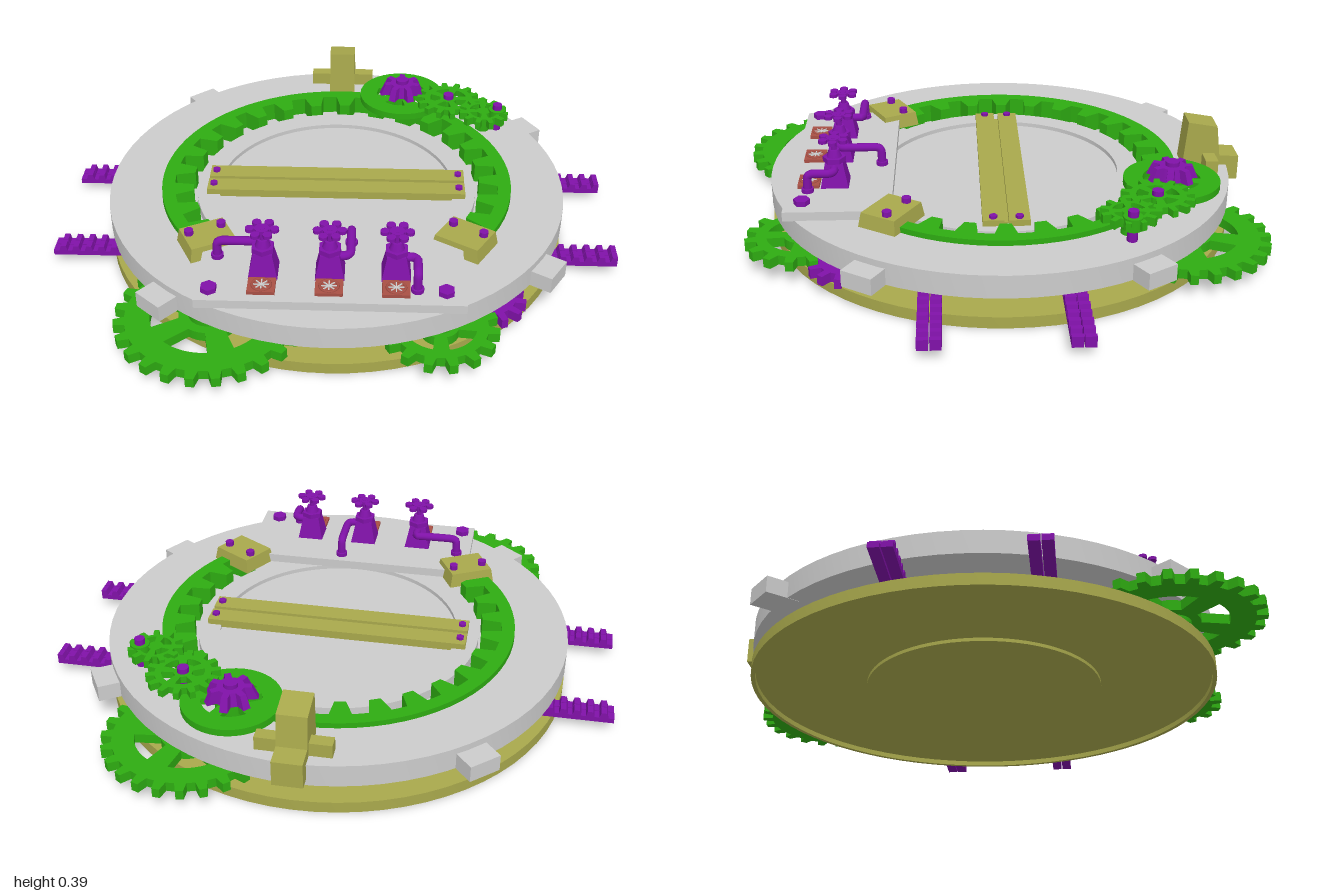
import * as THREE from 'three';
import { toCreasedNormals } from 'three/addons/utils/BufferGeometryUtils.js';

const mat = (color) => new THREE.MeshStandardMaterial({ color, side: THREE.DoubleSide });
const GREY = mat(0xcccccc), GREEN = mat(0x2eac12), OLIVE = mat(0xa8a84c), PURPLE = mat(0x8012a8), RED = mat(0xa85045);
const CZ = -0.027; // centre of the round plates
const R = 0.826;

export function createModel() {
  const root = new THREE.Group();

  function add(name, geo, material, x = 0, y = 0, z = 0, ry = 0, parent = root) {
    const m = new THREE.Mesh(geo, material);
    m.name = name;
    m.position.set(x, y, z);
    m.rotation.y = ry;
    parent.add(m);
  }
  const box = (w, h, d) => new THREE.BoxGeometry(w, h, d);
  const cyl = (r, h, n = 16, rTop = r) => toCreasedNormals(new THREE.CylinderGeometry(rTop, r, h, n), 0.7);
  const lathe = (pts) => toCreasedNormals(new THREE.LatheGeometry(pts.map((p) => new THREE.Vector2(...p)), 72), 0.5);
  // Narrow a geometry toward its top, in place
  function taper(geo, h, amount, base = 0) {
    const p = geo.attributes.position;
    for (let i = 0; i < p.count; i++) {
      const k = 1 - ((p.getY(i) - base) / h) * amount;
      p.setXYZ(i, p.getX(i) * k, p.getY(i), p.getZ(i) * k);
    }
    return toCreasedNormals(geo, 0.4);
  }
  // Extrude a flat shape upward; shape y becomes -z
  function slab(shape, h) {
    const g = new THREE.ExtrudeGeometry(shape, { depth: h, bevelEnabled: false, curveSegments: 20 });
    return toCreasedNormals(g.rotateX(-Math.PI / 2), 0.5);
  }
  const polar = (r, a) => new THREE.Vector2(r * Math.cos(a), r * Math.sin(a));
  // Points of a toothed edge between two angles
  function teethPoints(rootR, tip, n, a0, a1) {
    const pts = [], p = (a1 - a0) / n;
    for (let i = 0; i < n; i++) {
      const a = a0 + i * p;
      pts.push(polar(rootR, a), polar(rootR, a + p * 0.24), polar(rootR, a + p * 0.42));
      pts.push(polar(tip, a + p * 0.54), polar(tip, a + p * 0.88));
    }
    return pts;
  }
  // Spur gear with windows between its spokes
  function gear(r, teeth, h, spokes, depth, rimIn, hubR, half) {
    const s = new THREE.Shape(teeth ? teethPoints(r - depth, r, teeth, 0, Math.PI * 2) : undefined);
    if (!teeth) s.absarc(0, 0, r, 0, Math.PI * 2);
    for (let i = 0; i < spokes; i++) {
      const a0 = (i / spokes) * Math.PI * 2 + half, a1 = ((i + 1) / spokes) * Math.PI * 2 - half;
      const w = new THREE.Path();
      w.absarc(0, 0, rimIn, a0, a1, false);
      w.absarc(0, 0, hubR, a1 - half * 0.5, a0 + half * 0.5, true);
      w.closePath();
      s.holes.push(w);
    }
    return slab(s, h);
  }
  const screw = (x, y, z, r) => add('screw', cyl(r, 0.02, 6), PURPLE, x, y, z);

  // Base plate: rim and central boss around a recessed underside, low hub on top
  add('basePlate', lathe([[0, 0.006], [0.42, 0.006], [0.42, 0.018], [R - 0.015, 0.018], [R - 0.015, 0], [R, 0], [R, 0.04], [0, 0.04]]), OLIVE, 0, 0, CZ);
  add('baseHub', cyl(0.105, 0.018, 32, 0.06), OLIVE, 0, 0.048, CZ);

  // Upper plate with ring groove and shallow middle, and edge tabs
  add('upperPlate', lathe([[0, 0.107], [R, 0.107], [R, 0.187], [0.638, 0.187], [0.638, 0.135], [0.51, 0.135],
    [0.51, 0.17], [0.43, 0.17], [0.43, 0.155], [0, 0.155]]), GREY, 0, 0, CZ);
  for (const deg of [32, -32, 131, -131]) {
    const a = (deg * Math.PI) / 180;
    add('edgeTab', box(0.12, 0.058, 0.115), GREY, 0.84 * Math.cos(a), 0.135, CZ - 0.84 * Math.sin(a), a);
  }

  // Paired racks running right through
  for (const z of [-0.235, 0.224]) {
    for (const dz of [-0.02, 0.02]) {
      const s = new THREE.Shape();
      s.moveTo(-1, 0.04).lineTo(1, 0.04);
      const n = 44, p = 2 / n;
      for (let i = 0; i < n; i++) {
        const x = 1 - i * p;
        s.lineTo(x, 0.077).lineTo(x - p * 0.4, 0.077).lineTo(x - p * 0.55, 0.058).lineTo(x - p * 0.9, 0.058);
      }
      s.lineTo(-1, 0.058);
      const g = new THREE.ExtrudeGeometry(s, { depth: 0.036, bevelEnabled: false });
      add('rack', toCreasedNormals(g, 0.4), PURPLE, 0, 0, z + dz - 0.018);
    }
  }

  // Gears between the plates
  const lower = [
    ['backLowerGear', 0.39, -0.645, 0.29, 24, 5, GREEN, 0.055],
    ['frontLeftLowerGear', -0.395, 0.62, 0.315, 24, 5, GREEN, 0.055],
    ['frontRightLowerGear', 0.36, 0.66, 0.195, 15, 4, GREEN, 0.06],
    ['smallLowerGear', 0.53, 0.5, 0.125, 12, 0, PURPLE, 0.05],
  ];
  for (const [name, x, z, r, n, spokes, m, y] of lower) {
    add(name, gear(r, n, 0.034, spokes, 0.037, r * 0.62, r * 0.32, 0.22), m, x, y, z);
    add(name + 'Hub', cyl(r * 0.22, 0.067, 24), m, x, 0.0735, z);
  }

  // Inward-toothed ring, open at the front
  const a0 = (-42 * Math.PI) / 180, a1 = (224 * Math.PI) / 180, ringPts = [];
  for (let i = 0; i <= 60; i++) ringPts.push(polar(0.637, a0 + ((a1 - a0) * i) / 60));
  ringPts.push(...teethPoints(0.59, 0.522, 21, a1, a0), polar(0.59, a0));
  add('ringGear', slab(new THREE.Shape(ringPts), 0.07), GREEN, 0, 0.136, CZ);

  // Clamps over the ring's ends
  for (const [x, z, ry, w] of [[-0.423, 0.382, 0.47, 0.175], [0.45, 0.35, -0.55, 0.18]]) {
    const clamp = new THREE.Group();
    clamp.name = 'ringClamp';
    clamp.position.set(x, 0, z);
    clamp.rotation.y = ry;
    root.add(clamp);
    add('clampBlock', taper(box(w, 0.052, 0.145), 0.052, 0.1, -0.026), OLIVE, 0, 0.211, 0, 0, clamp);
    for (const sx of [-1, 1]) add('clampScrew', cyl(0.016, 0.02, 8), PURPLE, sx * 0.058, 0.245, -0.022, 0, clamp);
  }

  // Double bar across the middle
  for (const dz of [-0.044, 0.044]) {
    add('crossBar', box(0.94, 0.022, 0.072), OLIVE, 0, 0.18, CZ - 0.003 + dz);
    for (const sx of [-1, 1]) screw(sx * 0.448, 0.191, CZ - 0.003 + dz, 0.014);
  }
  add('crossBarBase', box(0.9, 0.02, 0.14), OLIVE, 0, 0.164, CZ - 0.003);

  // Control plate lying on the upper plate
  add('controlPlate', box(0.87, 0.032, 0.36), GREY, 0.005, 0.202, 0.532);
  screw(-0.385, 0.226, 0.66, 0.028);
  screw(0.375, 0.226, 0.652, 0.028);

  // Valves, each with a bent pipe of its own
  const pipes = [
    [[0, 0.285, -0.03], [0, 0.285, -0.068], [-0.03, 0.285, -0.068], [-0.14, 0.285, -0.068], [-0.158, 0.275, -0.068], [-0.16, 0.218, -0.068]],
    [[0, 0.285, 0], [0.05, 0.285, 0], [0.066, 0.285, -0.02], [0.066, 0.285, -0.135], [0.066, 0.275, -0.152], [0.066, 0.218, -0.154]],
    [[0, 0.285, 0], [0.052, 0.285, 0], [0.068, 0.285, 0.015], [0.068, 0.285, 0.07], [0.068, 0.275, 0.088], [0.068, 0.218, 0.09]],
  ];
  [-0.217, 0, 0.215].forEach((x, i) => {
    const v = new THREE.Group();
    v.name = 'valve';
    v.position.set(x, 0, 0.552);
    root.add(v);
    const body = new THREE.CylinderGeometry(0.044, 0.068, 0.085, 4, 1).rotateY(Math.PI / 4);
    add('valveBody', toCreasedNormals(body, 0.4), PURPLE, 0, 0.26, 0, 0, v);
    add('valveCollar', cyl(0.04, 0.018, 6), PURPLE, 0, 0.311, 0, 0, v);
    add('valveNeck', cyl(0.026, 0.026, 12, 0.018), PURPLE, 0, 0.333, 0, 0, v);
    add('valveStem', cyl(0.01, 0.06, 10), PURPLE, 0, 0.36, 0, 0, v);
    // Lobed handwheel
    add('handwheelHub', cyl(0.024, 0.012, 16), PURPLE, 0, 0.383, 0, 0, v);
    for (let k = 0; k < 6; k++) {
      const a = (k * Math.PI) / 3;
      add('handwheelLobe', cyl(0.015, 0.012, 12), PURPLE, 0.04 * Math.cos(a), 0.383, 0.04 * Math.sin(a), 0, v);
      if (k < 3) add('handwheelSpoke', box(0.08, 0.01, 0.014), PURPLE, 0, 0.383, 0, a, v);
    }
    const path = new THREE.CatmullRomCurve3(pipes[i].map((p) => new THREE.Vector3(...p)), false, 'catmullrom', 0.2);
    add('pipe', new THREE.TubeGeometry(path, 30, 0.015, 10), PURPLE, 0, 0, 0, 0, v);
    add('pipeFoot', cyl(0.021, 0.015, 12), PURPLE, pipes[i][5][0], 0.225, pipes[i][5][2], 0, v);
    // Square outlet with a radial grille
    add('outlet', box(0.09, 0.014, 0.075), RED, 0, 0.223, 0.09, 0, v);
    add('outletRim', new THREE.TorusGeometry(0.03, 0.005, 6, 20).rotateX(Math.PI / 2), RED, 0, 0.231, 0.09, 0, v);
    for (let k = 0; k < 4; k++) add('grilleBar', box(0.056, 0.004, 0.004), GREY, 0, 0.231, 0.09, (k * Math.PI) / 4, v);
  });

  // Rear bracket: side profile (z, y) extruded across x
  const side = [[-0.69, 0.18], [-0.705, 0.355], [-0.81, 0.337], [-0.825, 0.225], [-0.895, 0.22], [-0.895, 0.13], [-0.835, 0.13], [-0.82, 0.18]];
  const prof = new THREE.Shape(side.map(([z, y]) => new THREE.Vector2(-z, y)));
  const post = new THREE.ExtrudeGeometry(prof, { depth: 0.1, bevelEnabled: false });
  add('rearBracket', toCreasedNormals(post.translate(0, 0, -0.05).rotateY(Math.PI / 2), 0.3), OLIVE);
  add('bracketCrossbar', box(0.25, 0.05, 0.045), OLIVE, 0, 0.21, -0.783);

  // Gear train on top
  add('trainWheel', gear(0.168, 0, 0.025, 5, 0, 0.1, 0.05, 0.2), GREEN, 0.245, 0.205, -0.615);
  add('trainWheelHub', cyl(0.055, 0.06, 24), GREEN, 0.245, 0.21, -0.615);
  add('bevelPinion', taper(gear(0.09, 7, 0.045, 0, 0.032), 0.045, 0.22), PURPLE, 0.245, 0.235, -0.615);
  add('bevelPinionCap', cyl(0.025, 0.02, 12), PURPLE, 0.245, 0.285, -0.615);
  add('middleTrainGear', gear(0.125, 14, 0.025, 5, 0.03, 0.072, 0.032, 0.22), GREEN, 0.43, 0.232, -0.535);
  add('middleTrainShaft', cyl(0.02, 0.09, 12), PURPLE, 0.43, 0.23, -0.535);
  add('endTrainGear', gear(0.095, 11, 0.03, 4, 0.028, 0.055, 0.025, 0.25), GREEN, 0.562, 0.238, -0.42);
  add('endTrainHub', cyl(0.025, 0.06, 12), GREEN, 0.562, 0.215, -0.42);
  add('endTrainBoss', cyl(0.033, 0.045, 16), GREEN, 0.615, 0.252, -0.425);
  add('endTrainShaft', cyl(0.018, 0.11, 12), PURPLE, 0.615, 0.24, -0.425);

  return root;
}
